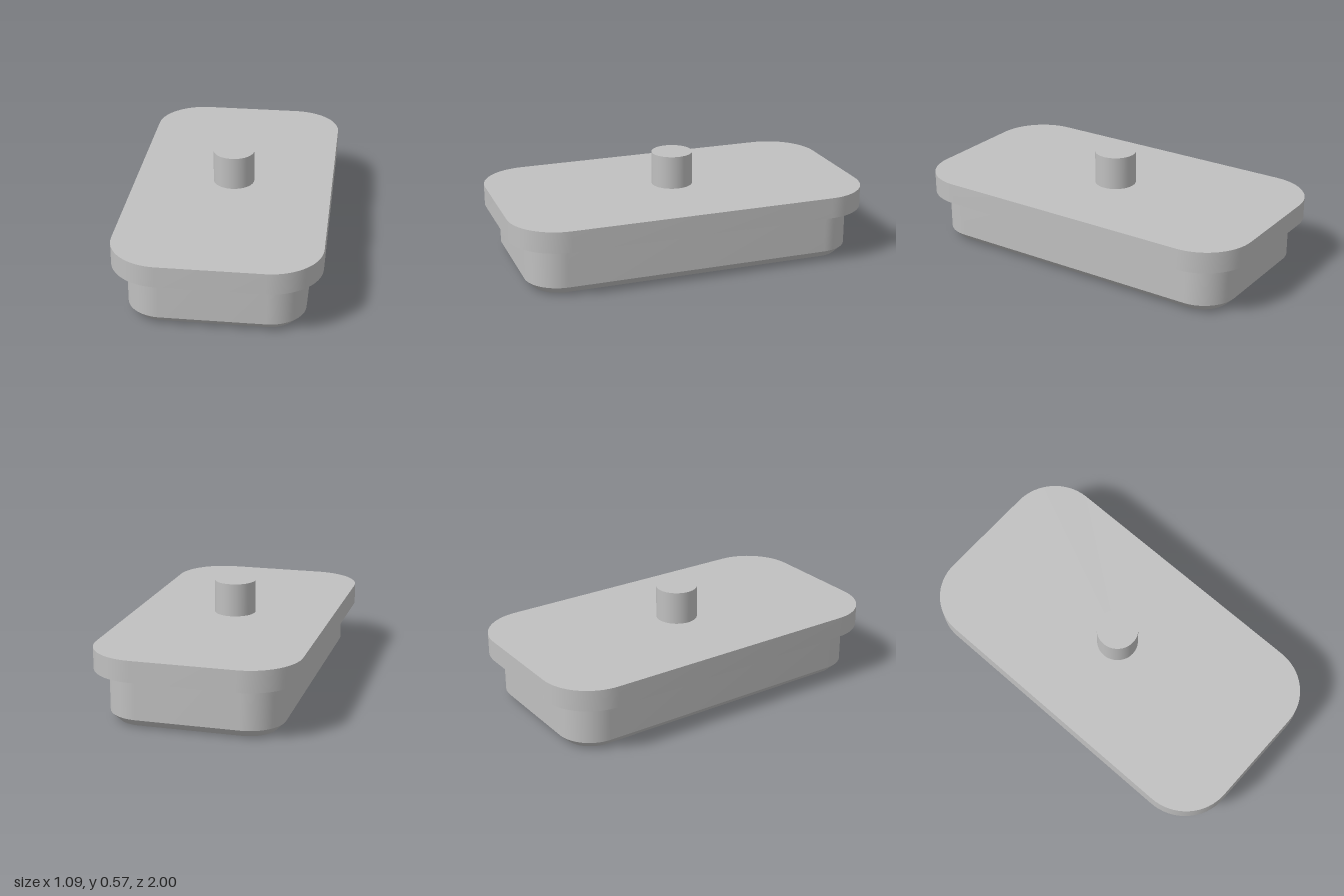
import * as THREE from 'three';
import { toCreasedNormals } from 'three/addons/utils/BufferGeometryUtils.js';

const CORNER_STEPS = 16;

// Points of a rounded rectangle around the y axis
function ring({ y, hx, hz, r }) {
  const points = [];
  for (let corner = 0; corner < 4; corner++) {
    const sx = corner === 0 || corner === 3 ? 1 : -1;
    const sz = corner < 2 ? 1 : -1;
    for (let i = 0; i <= CORNER_STEPS; i++) {
      const a = (corner + i / CORNER_STEPS) * Math.PI / 2;
      points.push(sx * (hx - r) + r * Math.cos(a), y, sz * (hz - r) + r * Math.sin(a));
    }
  }
  return points;
}

// Closed solid through rounded rectangles listed from bottom to top
function roundedSolid(sections) {
  const n = 4 * (CORNER_STEPS + 1);
  const last = sections.length - 1;
  const positions = sections.flatMap(ring);
  const bottom = n * sections.length, top = bottom + 1;
  positions.push(0, sections[0].y, 0, 0, sections[last].y, 0);
  const index = [];
  for (let i = 0; i < n; i++) {
    const j = (i + 1) % n;
    for (let s = 0; s < last; s++) {
      const a = s * n, b = a + n;
      index.push(a + i, b + i, a + j, b + i, b + j, a + j);
    }
    index.push(bottom, i, j, top, last * n + j, last * n + i);
  }
  const geometry = new THREE.BufferGeometry();
  geometry.setAttribute('position', new THREE.Float32BufferAttribute(positions, 3));
  geometry.setIndex(index);
  return toCreasedNormals(geometry, 0.5);
}

export function createModel() {
  const group = new THREE.Group();
  group.name = 'flangedPlug';
  const grey = new THREE.MeshStandardMaterial({ color: 0xc0c0c0 });
  grey.name = 'grey';

  const add = (name, geometry) => {
    const mesh = new THREE.Mesh(geometry, grey);
    mesh.name = name;
    group.add(mesh);
    return mesh;
  };

  // Lower body with a chamfered bottom edge
  add('body', roundedSolid([
    { y: 0, hx: 0.42, hz: 0.877, r: 0.147 },
    { y: 0.044, hx: 0.464, hz: 0.921, r: 0.191 },
    { y: 0.27, hx: 0.464, hz: 0.921, r: 0.191 },
  ]));

  // Overhanging top plate
  add('flange', roundedSolid([
    { y: 0.27, hx: 0.546, hz: 1, r: 0.273 },
    { y: 0.385, hx: 0.546, hz: 1, r: 0.273 },
  ]));

  // Central post
  add('post', new THREE.CylinderGeometry(0.113, 0.113, 0.182, 64)).position.y = 0.476;

  return group;
}
